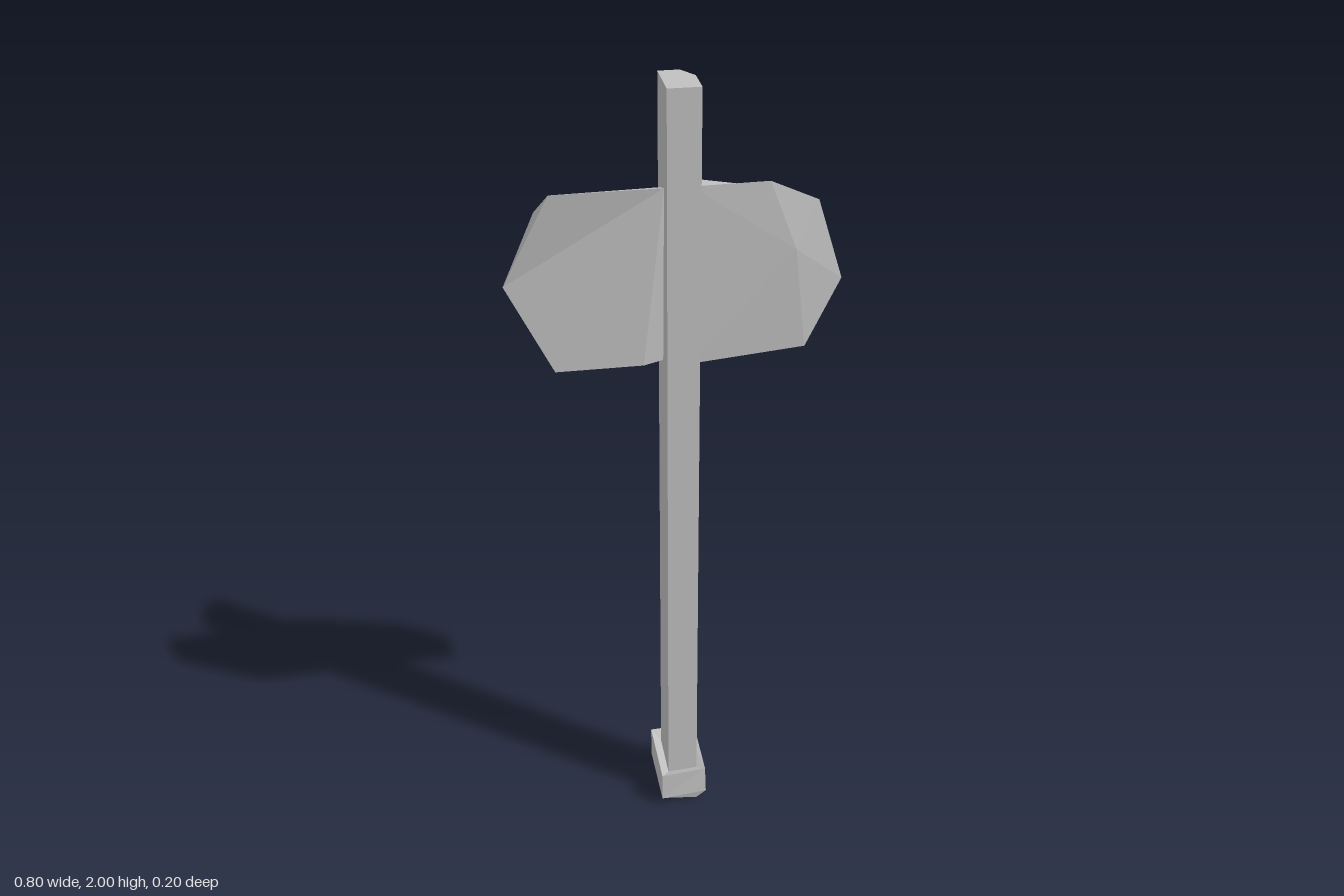
import * as THREE from 'three';

const grey = new THREE.MeshStandardMaterial({ color: 0xc0c0c0, flatShading: true });
grey.name = 'plain grey';

// Joins matching rings of points, listed counter-clockwise seen from the last ring.
// Caps fan from a hub when one is given, otherwise from the ring's first point.
function loft(name, rings, startHub, endHub) {
  const pos = [];
  const tri = (a, b, c) => pos.push(...a, ...b, ...c);
  const n = rings[0].length;
  for (let r = 0; r + 1 < rings.length; r++) {
    for (let i = 0; i < n; i++) {
      const j = (i + 1) % n;
      const a = rings[r][i], b = rings[r][j], c = rings[r + 1][j], d = rings[r + 1][i];
      tri(a, b, c);
      tri(a, c, d);
    }
  }
  const cap = (ring, hub) => {
    if (hub) ring.forEach((p, i) => tri(hub, p, ring[(i + 1) % n]));
    else for (let i = 1; i + 1 < n; i++) tri(ring[0], ring[i], ring[i + 1]);
  };
  cap([...rings[0]].reverse(), startHub);
  cap(rings[rings.length - 1], endHub);
  const geo = new THREE.BufferGeometry();
  geo.setAttribute('position', new THREE.Float32BufferAttribute(pos, 3));
  geo.computeVertexNormals();
  const mesh = new THREE.Mesh(geo, grey);
  mesh.name = name;
  return mesh;
}

// Handle section at height y; the rear left corner is cut by cx and cz
const handleRing = (y, cx, cz) => [
  [-0.03, y, 0.065], [0.048, y, 0.065], [0.048, y, -0.062 + cz],
  [0.048 - cx, y, -0.062], [-0.03, y, -0.062],
];

export function createModel() {
  const model = new THREE.Group();
  model.name = 'axe';

  // Handle, with the rear corner hewn away near the top
  model.add(loft('handle', [
    handleRing(0.06, 0.01, 0.015),
    handleRing(1.0, 0.012, 0.015),
    handleRing(1.72, 0.012, 0.015),
    handleRing(1.9, 0.025, 0.04),
    handleRing(2.0, 0.028, 0.045),
  ]));

  // Uneven block at the foot of the handle
  model.add(loft('pommel', [
    [[-0.045, 0.005, 0.08], [0.045, 0, 0.085], [0.055, 0.005, -0.085], [-0.045, 0.005, -0.09]],
    [[-0.052, 0.02, 0.098], [0.07, 0.025, 0.09], [0.07, 0.02, -0.095], [-0.052, 0.015, -0.1]],
    [[-0.052, 0.1, 0.098], [0.068, 0.1, 0.085], [0.068, 0.11, -0.095], [-0.052, 0.1, -0.1]],
    [[-0.03, 0.085, 0.066], [0.048, 0.09, 0.066], [0.048, 0.1, -0.063], [-0.03, 0.09, -0.063]],
  ]));

  // Pointed blade on the right: back ring, then front ring
  const rightTip = [-0.4, 1.535, 0];
  model.add(loft('rightBlade', [
    [[-0.02, 1.74, -0.034], [-0.32, 1.7, -0.03], rightTip, [-0.29, 1.36, -0.025], [-0.08, 1.34, -0.03], [-0.02, 1.34, -0.034]],
    [[-0.03, 1.76, 0.025], [-0.29, 1.76, 0.025], rightTip, [-0.29, 1.32, 0.025], [-0.08, 1.32, 0.025], [-0.02, 1.32, 0]],
  ], [-0.22, 1.53, -0.034]));

  // Rounded blade on the left: back ring, then front ring
  const leftTip = [0.398, 1.5, 0];
  model.add(loft('leftBlade', [
    [[0.03, 1.34, -0.034], [0.28, 1.37, -0.03], leftTip, [0.335, 1.62, -0.029], [0.21, 1.73, -0.025], [0.03, 1.75, -0.057]],
    [[0.03, 1.315, 0.025], [0.31, 1.337, 0.02], leftTip, [0.335, 1.7, 0], [0.215, 1.76, 0.02], [0.03, 1.76, 0.025]],
  ], [0.22, 1.53, -0.034], [0.28, 1.59, 0.025]));

  return model;
}
